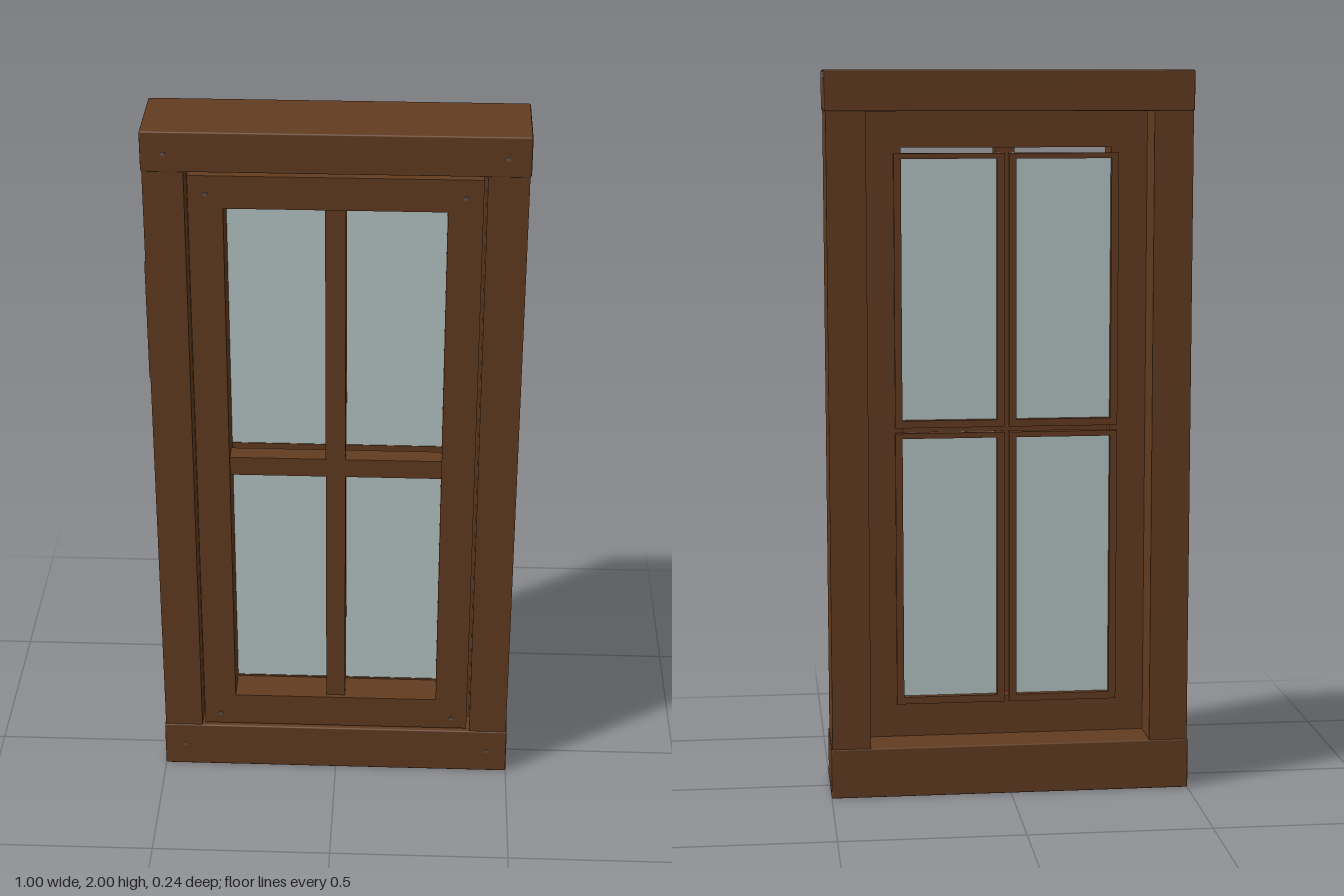
import * as THREE from 'three';
import { RoundedBoxGeometry } from 'three/addons/geometries/RoundedBoxGeometry.js';

const wood = new THREE.MeshStandardMaterial({ name: 'brown wood', color: 0x633c21 });
const glass = new THREE.MeshStandardMaterial({ name: 'pale glass', color: 0xb7c7c6 });
const worn = new THREE.MeshStandardMaterial({ name: 'worn grey brown', color: 0x63544c });

// Box given by its lower and upper limits; r rounds the edges.
function block(parent, name, x0, x1, y0, y1, z0, z1, material = wood, r = 0) {
  const size = [x1 - x0, y1 - y0, z1 - z0];
  const geometry = r ? new RoundedBoxGeometry(...size, 1, r) : new THREE.BoxGeometry(...size);
  const mesh = new THREE.Mesh(geometry, material);
  mesh.position.set((x0 + x1) / 2, (y0 + y1) / 2, (z0 + z1) / 2);
  mesh.name = name;
  parent.add(mesh);
  return mesh;
}

// Rectangular frame of two rails and two stiles.
function frame(parent, name, outer, inner, z0, z1, r = 0, inset = 0) {
  const group = new THREE.Group();
  group.name = name;
  const [ox0, ox1, oy0, oy1] = outer;
  const [ix0, ix1, iy0, iy1] = inner;
  block(group, 'bottomRail', ox0, ox1, oy0, iy0, z0, z1, wood, r);
  block(group, 'topRail', ox0, ox1, iy1, oy1, z0, z1, wood, r);
  block(group, 'rightStile', ox0 + inset, ix0, iy0 - inset, iy1 + inset, z0 + inset, z1 - inset);
  block(group, 'leftStile', ix1, ox1 - inset, iy0 - inset, iy1 + inset, z0 + inset, z1 - inset);
  parent.add(group);
}

export function createModel() {
  const model = new THREE.Group();
  model.name = 'window';

  // Outer casing, with the rails slightly proud of the posts
  frame(model, 'casing', [-0.5, 0.5, 0, 2], [-0.39, 0.39, 0.14, 1.89], -0.13, 0.105, 0.004, 0.003);

  // Sash with a narrow shadow gap at the front and a lip closing it behind
  const opening = [-0.29, 0.29, 0.25, 1.79];
  frame(model, 'sash', [-0.381, 0.381, 0.15, 1.881], opening, 0.03, 0.103);
  frame(model, 'sashLip', [-0.39, 0.39, 0.14, 1.89], opening, -0.01, 0.03);

  // Crossed glazing bars
  block(model, 'verticalBar', -0.027, 0.027, 0.25, 1.79, 0.035, 0.09);
  block(model, 'horizontalBar', -0.29, 0.29, 0.985, 1.04, 0.035, 0.088);

  // Four panes, each held by thin beads at the back
  for (const [x0, x1] of [[-0.31, -0.007], [0.007, 0.31]]) {
    for (const [y0, y1] of [[0.235, 1.005], [1.02, 1.775]]) {
      block(model, 'pane', x0 + 0.01, x1 - 0.01, y0 + 0.01, y1, -0.004, 0.004, glass);
      frame(model, 'paneBead', [x0, x1, y0, y1], [x0 + 0.02, x1 - 0.02, y0 + 0.02, y1 - 0.015], -0.022, 0.006);
    }
  }

  // Pegs at the joints
  for (const [x, y] of [[0.44, 0.07], [0.44, 1.94], [0.335, 0.185], [0.335, 1.83]]) {
    for (const side of [-1, 1]) {
      const peg = new THREE.Mesh(new THREE.CylinderGeometry(0.006, 0.006, 0.004, 8), worn);
      peg.rotation.x = Math.PI / 2;
      peg.position.set(side * x, y, 0.104);
      peg.name = 'peg';
      model.add(peg);
    }
  }

  // Worn patch on the left upper corner
  const patch = new THREE.Shape([[-0.102, 1.91], [-0.05, 1.91], [-0.028, 1.975], [0.126, 1.978],
    [0.126, 1.996], [-0.102, 1.996]].map(p => new THREE.Vector2(...p)));
  const corner = new THREE.Mesh(new THREE.ExtrudeGeometry(patch, { depth: 0.003, bevelEnabled: false }), worn);
  corner.rotation.y = Math.PI / 2;
  corner.position.x = 0.4975;
  corner.name = 'wornCorner';
  model.add(corner);

  // Worn lower ends
  block(model, 'wornLeftFoot', 0.498, 0.5005, 0.004, 0.028, -0.126, 0.101, worn);
  block(model, 'wornRightFoot', -0.5005, -0.498, 0.004, 0.12, -0.126, 0.101, worn);

  // Plate let into the right side
  block(model, 'sidePlate', -0.5, -0.496, 1.29, 1.63, -0.06, 0.1);

  return model;
}
